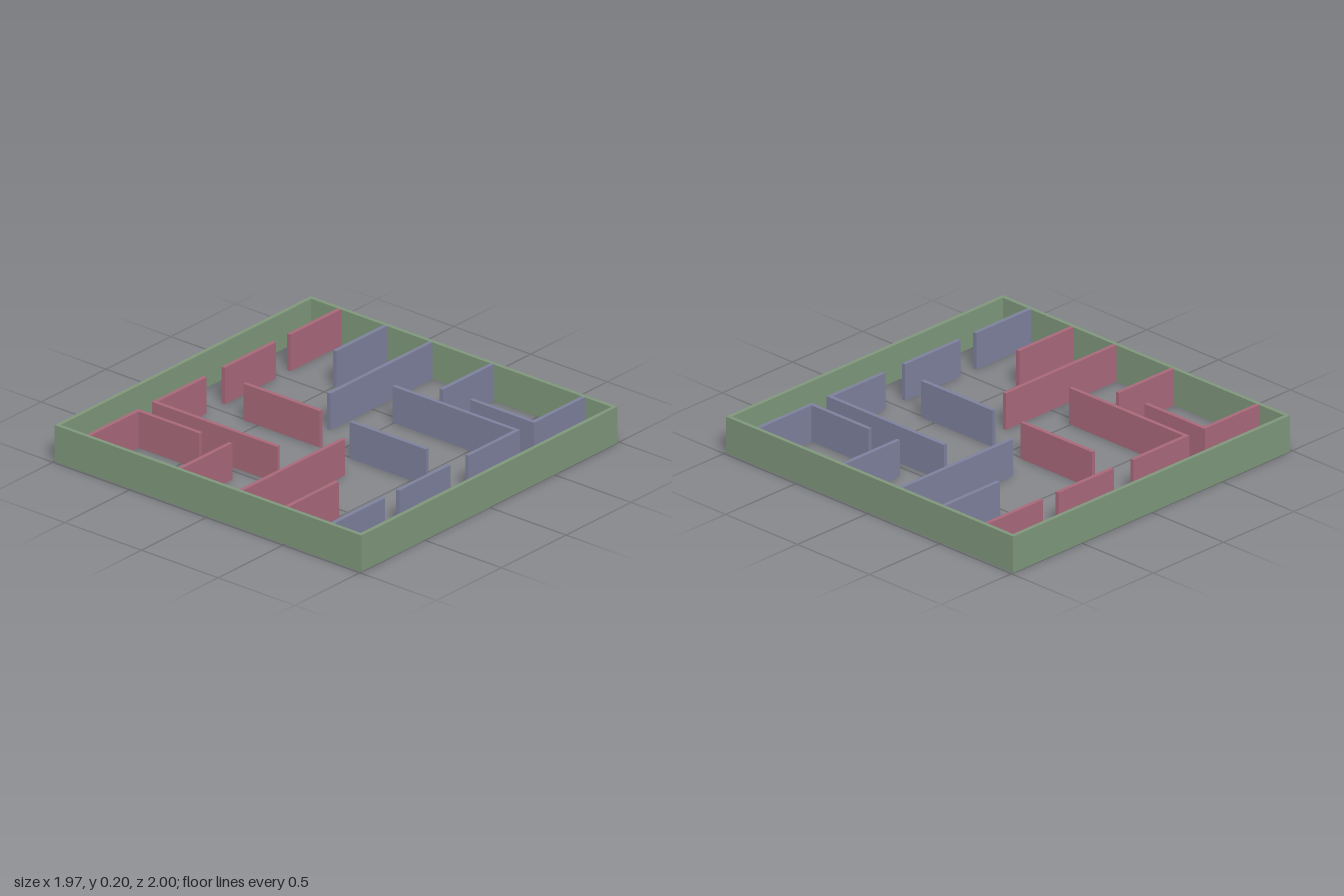
import * as THREE from 'three';

const HEIGHT = 0.2, THICK = 0.022;
const HALF_X = 0.987, HALF_Z = 1;
const INNER = HALF_X - THICK; // inner face of the side walls

// Walls of one half of the maze: [x1, z1, x2, z2] along the centre line.
// The other half is the same set turned 180 degrees in the second colour.
const WALLS = [
  // back row
  [-INNER, -0.795, -0.577, -0.795],
  [-0.467, -0.795, -0.07, -0.795],
  [0.07, -0.795, 0.465, -0.795],
  [0.577, -0.795, INNER, -0.795],
  // walls running front to back
  [-0.585, -0.805, -0.585, -0.388],
  [-0.456, -0.805, -0.456, 0.009],
  [0, -0.595, 0, -0.098],
  // stubs from the side wall
  [-INNER, -0.199, -0.577, -0.199],
  [-INNER, 0.199, -0.179, 0.199],
  [-INNER, 0.496, -0.577, 0.496],
];

function rectangle(path, hx, hz) {
  path.moveTo(-hx, -hz);
  path.lineTo(hx, -hz);
  path.lineTo(hx, hz);
  path.lineTo(-hx, hz);
  path.closePath();
  return path;
}

function mazeHalf(material, name) {
  const half = new THREE.Group();
  half.name = name;
  WALLS.forEach(([x1, z1, x2, z2], i) => {
    const wall = new THREE.Mesh(
      new THREE.BoxGeometry(Math.max(x2 - x1, THICK), HEIGHT, Math.max(z2 - z1, THICK)),
      material
    );
    wall.position.set((x1 + x2) / 2, HEIGHT / 2, (z1 + z2) / 2);
    wall.name = `${name}Wall${i + 1}`;
    half.add(wall);
  });
  return half;
}

export function createModel() {
  const green = new THREE.MeshStandardMaterial({ name: 'sage green', color: 0x7f987c });
  const red = new THREE.MeshStandardMaterial({ name: 'dusty red', color: 0xa9697b });
  const blue = new THREE.MeshStandardMaterial({ name: 'slate blue', color: 0x7e819d });

  const model = new THREE.Group();
  model.name = 'maze';

  // outer wall: open rectangular frame
  const outline = rectangle(new THREE.Shape(), HALF_X, HALF_Z);
  outline.holes.push(rectangle(new THREE.Path(), INNER, HALF_Z - THICK));
  const frame = new THREE.ExtrudeGeometry(outline, { depth: HEIGHT, bevelEnabled: false });
  frame.rotateX(-Math.PI / 2);
  const outerWall = new THREE.Mesh(frame, green);
  outerWall.name = 'outerWall';
  model.add(outerWall);

  // inner walls: red half, and its half-turn copy in blue
  const blueHalf = mazeHalf(blue, 'blueHalf');
  blueHalf.rotation.y = Math.PI;
  model.add(mazeHalf(red, 'redHalf'), blueHalf);

  return model;
}
